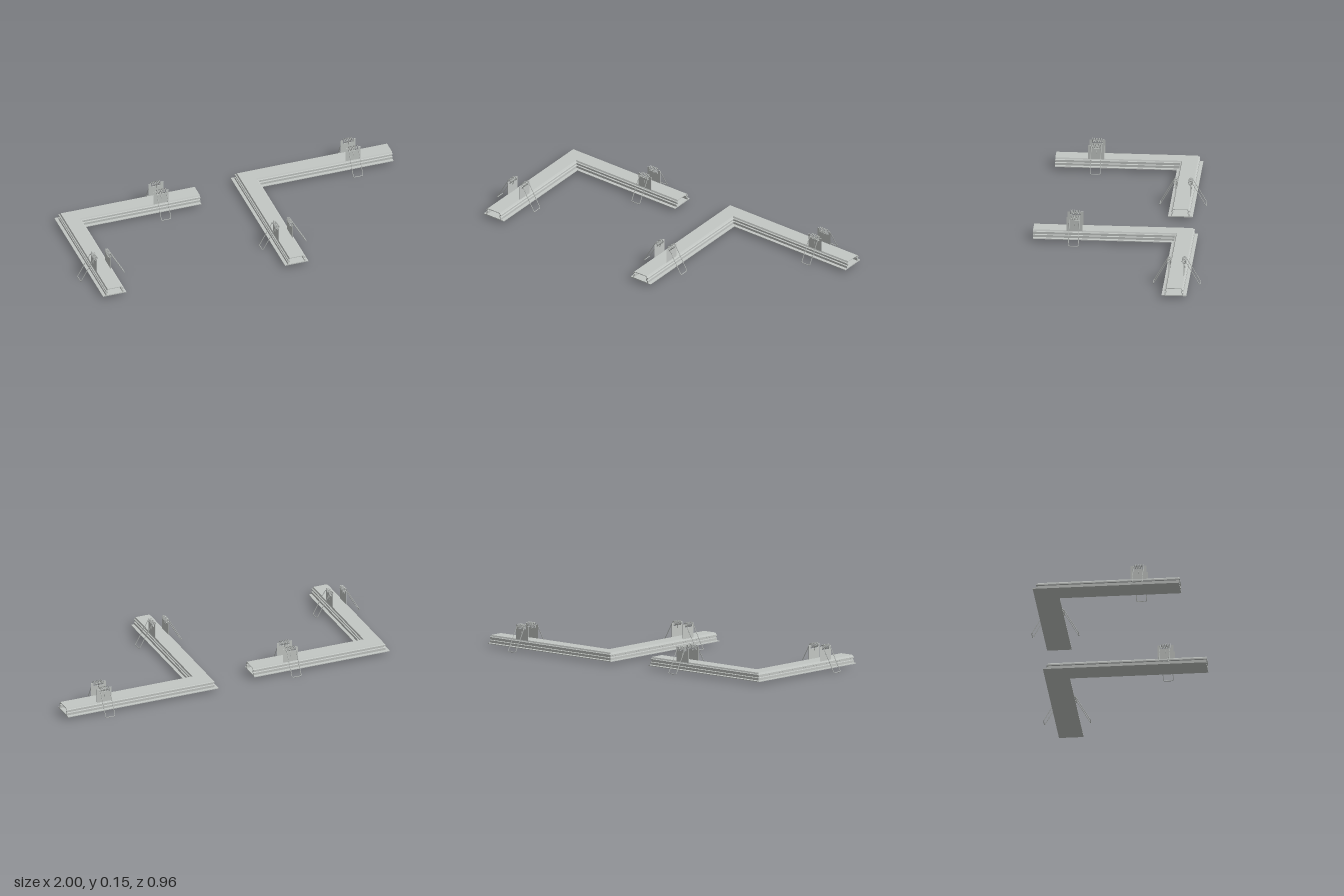
import * as THREE from 'three';

const aluminium = new THREE.MeshStandardMaterial({ color: 0xc3c7c4, side: THREE.DoubleSide });
aluminium.name = 'grey aluminium';
const steel = new THREE.MeshStandardMaterial({ color: 0xb6bab7 });
steel.name = 'spring steel';

// Half of the rail section as [offset, height], mirrored into a closed outline
function mirroredPath(half, Type) {
  const pts = half.map(([x, y]) => new THREE.Vector2(x, y));
  const other = half.slice().reverse().map(([x, y]) => new THREE.Vector2(-x, y));
  return new Type([...pts, ...other]);
}

function railGeometry(length, mitre) {
  const section = mirroredPath([
    [0.068, 0.014], [0.068, 0.018], [0.051, 0.019], [0.051, 0.032], [0.044, 0.034],
    [0.044, 0.041], [0.051, 0.043], [0.051, 0.05], [0.045, 0.052], [0.041, 0.06],
  ], THREE.Shape);
  section.holes.push(mirroredPath([
    [0.046, 0.02], [0.046, 0.03], [0.04, 0.033], [0.04, 0.043], [0.045, 0.045], [0.038, 0.056],
  ], THREE.Path));
  const geo = new THREE.ExtrudeGeometry(section, { depth: length, bevelEnabled: false });
  // Slant the start of the rail to a 45 degree mitre
  const p = geo.attributes.position;
  for (let i = 0; i < p.count; i++) {
    if (p.getZ(i) < 1e-5) p.setZ(i, mitre * p.getX(i));
  }
  geo.computeVertexNormals();
  return geo;
}

function wire(points, name, segments, tension) {
  const curve = new THREE.CatmullRomCurve3(points.map((q) => new THREE.Vector3(...q)),
    false, 'catmullrom', tension);
  const mesh = new THREE.Mesh(new THREE.TubeGeometry(curve, segments, 0.002, 12), steel);
  mesh.name = name;
  return mesh;
}

// Upright plate with a notch, a coil spring in it and a U-shaped wire arm leaning outwards (+x)
function springClip() {
  const clip = new THREE.Group();
  clip.name = 'springClip';
  const cx = 0.041, cy = 0.135, r = 0.011, w = 0.0275;

  const outline = [[-0.044, 0.055], [0.044, 0.055], [0.044, 0.138], [0.03, 0.138],
    [0.03, 0.118], [-0.03, 0.118], [-0.03, 0.138], [-0.044, 0.138]];
  const plateGeo = new THREE.ExtrudeGeometry(
    new THREE.Shape(outline.map(([x, y]) => new THREE.Vector2(x, y))),
    { depth: 0.003, bevelEnabled: false });
  plateGeo.rotateY(Math.PI / 2);
  plateGeo.translate(cx - 0.0015, 0, 0);
  const plate = new THREE.Mesh(plateGeo, aluminium);
  plate.name = 'clipPlate';

  // Coil
  const turns = 6, steps = 12, coil = [];
  for (let i = 0; i <= turns * steps; i++) {
    const a = (i / steps) * Math.PI * 2;
    coil.push([cx + r * Math.cos(a), cy + r * Math.sin(a), -w + (2 * w * i) / (turns * steps)]);
  }

  // Wire arm with rounded bottom corners
  const bx = 0.128, by = 0.002, tx = cx + r, c = 0.006;
  const kx = bx - c * 0.55, ky = by + c * 0.85;
  const arm = [[tx, cy, -w], [kx, ky, -w], [bx - 0.001, by + 0.0015, -w + 0.002], [bx, by, -w + c],
    [bx, by, w - c], [bx - 0.001, by + 0.0015, w - 0.002], [kx, ky, w], [tx, cy, w]];

  // Short hook holding the coil to the plate
  const hook = [[cx - r, cy, 0], [cx - 0.004, 0.112, 0], [cx + 0.004, 0.1, 0], [cx + 0.003, 0.088, 0]];

  clip.add(plate, wire(coil, 'coilSpring', turns * 16, 0.5),
    wire(arm, 'springArm', 90, 0.05), wire(hook, 'springHook', 10, 0.5));
  return clip;
}

// One straight leg of a corner: rail along +z with a clip on each side
function railLeg(length, clipAt, mitre) {
  const leg = new THREE.Group();
  leg.name = 'railLeg';
  const rail = new THREE.Mesh(railGeometry(length, mitre), aluminium);
  rail.name = 'rail';
  leg.add(rail);
  for (const turn of [0, Math.PI]) {
    const clip = springClip();
    clip.position.z = clipAt;
    clip.rotation.y = turn;
    leg.add(clip);
  }
  return leg;
}

function cornerRail(x, z, length, clipAt, name) {
  const corner = new THREE.Group();
  corner.name = name;
  const frontLeg = railLeg(length, clipAt, 1);
  const sideLeg = railLeg(length, clipAt, -1);
  sideLeg.rotation.y = Math.PI / 2;
  corner.add(frontLeg, sideLeg);
  corner.position.set(x, 0, z);
  return corner;
}

export function createModel() {
  const model = new THREE.Group();
  model.name = 'cornerRails';
  model.add(
    cornerRail(-0.872, -0.304, 0.738, 0.513, 'smallCornerRail'),
    cornerRail(0.169, -0.351, 0.831, 0.604, 'largeCornerRail'),
  );
  return model;
}
